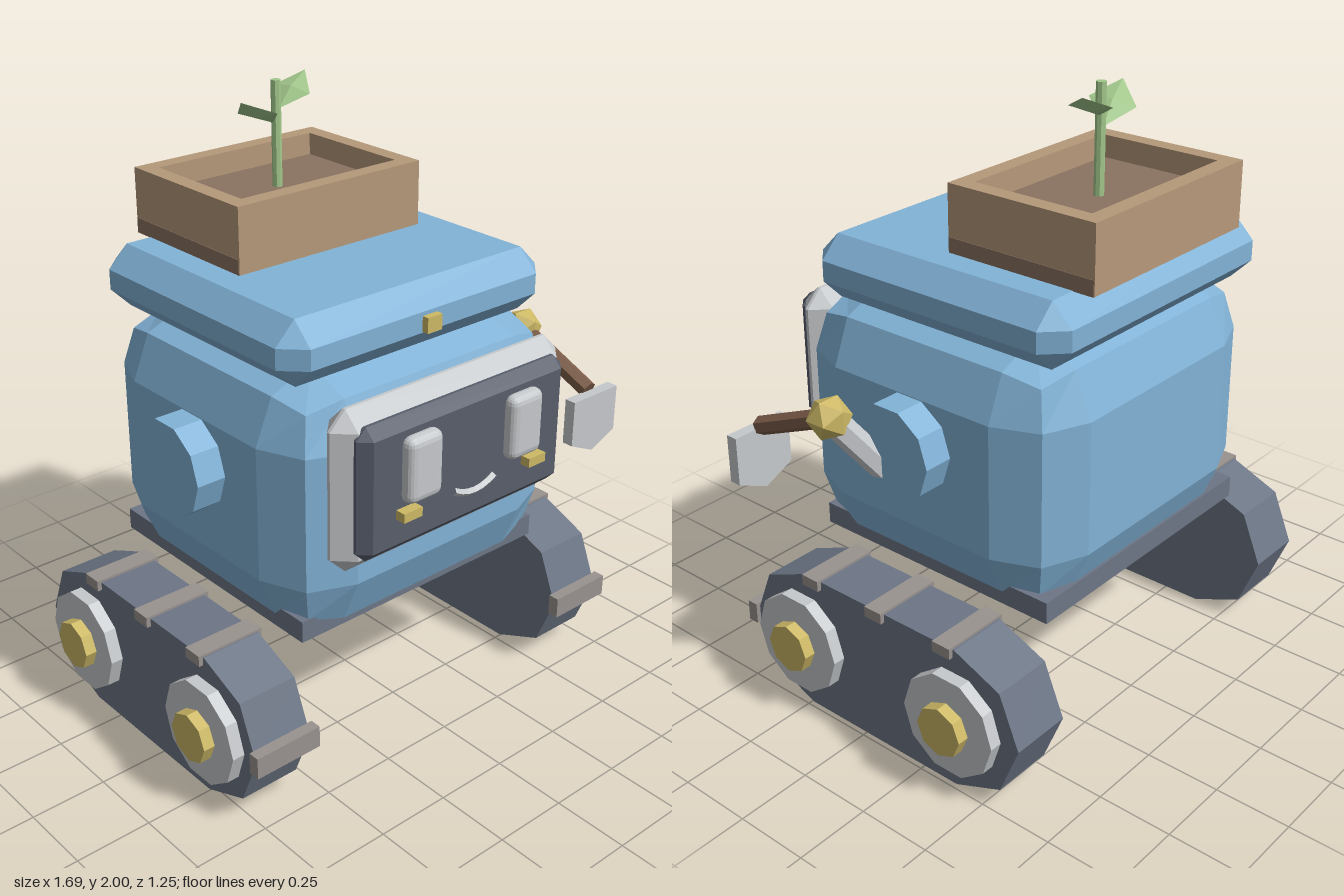
import * as THREE from 'three';
import { RoundedBoxGeometry } from 'three/addons/geometries/RoundedBoxGeometry.js';
import { ConvexGeometry } from 'three/addons/geometries/ConvexGeometry.js';

const mat = (name, color) => {
  const m = new THREE.MeshStandardMaterial({ color });
  m.name = name;
  return m;
};
const V = (x, y, z) => new THREE.Vector3(x, y, z);

export function createModel() {
  const root = new THREE.Group();
  root.name = 'gardenRobot';
  const blue = mat('blue shell', 0x82b3d7);
  const slate = mat('slate track', 0x6d7686);
  const dark = mat('dark screen', 0x585e6c);
  const tread = mat('warm grey tread', 0x99938f);
  const light = mat('light grey', 0xc6c9cc);
  const gold = mat('gold', 0xcdb966);
  const wood = mat('planter wood', 0xb6997a);
  const soil = mat('soil brown', 0x8a7260);
  const handle = mat('handle brown', 0x7d5d48);
  const green = mat('leaf green', 0xa3c98c);

  const CX = -0.018; // symmetry plane of the body

  // Adds a faceted mesh at a position
  function add(name, geo, material, x = 0, y = 0, z = 0, parent = root) {
    const g = geo.index ? geo.toNonIndexed() : geo;
    g.computeVertexNormals();
    const m = new THREE.Mesh(g, material);
    m.name = name;
    m.position.set(x, y, z);
    parent.add(m);
    return m;
  }
  const box = (w, h, d) => new THREE.BoxGeometry(w, h, d);
  const disc = (r, len, n) => new THREE.CylinderGeometry(r, r, len, n).rotateZ(Math.PI / 2);

  // Box with a single chamfer on every edge
  function chamferBox(w, h, d, c) {
    const pts = [], a = w / 2, b = h / 2, e = d / 2;
    for (const i of [-1, 1]) for (const j of [-1, 1]) for (const k of [-1, 1]) {
      pts.push(V(i * a, j * (b - c), k * (e - c)));
      pts.push(V(i * (a - c), j * b, k * (e - c)));
      pts.push(V(i * (a - c), j * (b - c), k * e));
    }
    return new ConvexGeometry(pts);
  }

  // Rod between two points
  function rod(name, a, b, r, n, material) {
    const m = add(name, new THREE.CylinderGeometry(r, r, a.distanceTo(b), n), material);
    m.position.copy(a).add(b).multiplyScalar(0.5);
    m.quaternion.setFromUnitVectors(V(0, 1, 0), b.clone().sub(a).normalize());
    return m;
  }

  // Body, base plate and lid
  add('body', new RoundedBoxGeometry(1.106, 0.856, 1.032, 1, 0.208), blue, CX, 0.908, -0.04);
  add('basePlate', box(0.99, 0.072, 0.916), slate, CX, 0.542, -0.061);
  add('lid', chamferBox(1.048, 0.206, 0.966, 0.07), blue, CX, 1.418, -0.083);
  add('lidLatch', box(0.058, 0.05, 0.06), gold, CX, 1.413, 0.393);

  // Face panel
  add('faceBezel', chamferBox(0.926, 0.523, 0.125, 0.057), light, CX, 1.026, 0.483);
  add('faceScreen', chamferBox(0.838, 0.43, 0.08, 0.035), dark, CX, 1.032, 0.545);
  for (const s of [-1, 1]) {
    add('eye', new RoundedBoxGeometry(0.137, 0.213, 0.06, 2, 0.028), light, CX + s * 0.209, 1.087, 0.594);
    add('cheek', box(0.072, 0.03, 0.035), gold, CX + s * 0.26, 0.953, 0.602);
  }
  const smile = new THREE.QuadraticBezierCurve3(V(-0.084, 0.96, 0), V(0, 0.91, 0), V(0.084, 0.96, 0));
  add('smile', new THREE.TubeGeometry(smile, 6, 0.012, 4), light, CX, 0, 0.604);

  // Track outline: two half octagons joined by straight runs
  const outline = [];
  for (const [cu, start] of [[0.382, -90], [-0.246, 90]]) {
    for (let k = 0; k <= 4; k++) {
      const t = THREE.MathUtils.degToRad(start + k * 45);
      outline.push(new THREE.Vector2(cu + 0.243 * Math.cos(t), 0.245 + 0.245 * Math.sin(t)));
    }
  }

  // Tracks with wheels, treads and shoulders on both sides
  for (const s of [-1, 1]) {
    const side = new THREE.Group();
    side.name = s > 0 ? 'leftTrack' : 'rightTrack';
    side.position.x = CX + s * 0.648;
    root.add(side);
    const belt = new THREE.ExtrudeGeometry(new THREE.Shape(outline), { depth: 0.206, bevelEnabled: false });
    belt.rotateY(Math.PI / 2).translate(-0.103, 0, 0);
    add('trackBelt', belt, slate, 0, 0, 0, side);
    for (const z of [0.26, -0.385]) {
      add('wheel', disc(0.173, 0.06, 10), light, s * 0.115, 0.245, z, side);
      add('hub', disc(0.083, 0.06, 8), gold, s * 0.154, 0.245, z, side);
    }
    for (const z of [0.208, -0.065, -0.342]) {
      add('tread', box(0.236, 0.036, 0.068), tread, 0, 0.48, z, side);
    }
    add('frontTread', box(0.236, 0.072, 0.038), tread, 0, 0.248, 0.497, side);
    add('shoulder', disc(0.158, 0.2, 10), blue, CX + s * 0.553, 0.975, -0.042);
  }

  // Left arm with a trowel
  const elbow = V(0.735, 1.093, 0.088);
  rod('upperArm', V(0.585, 0.875, -0.005), elbow, 0.043, 6, light);
  add('elbowJoint', new THREE.IcosahedronGeometry(0.07, 0), gold, elbow.x, elbow.y, elbow.z);
  rod('trowelHandle', elbow, V(0.732, 0.963, 0.4), 0.031, 6, handle);
  const blade = new THREE.Shape([
    [-0.106, 0.1], [-0.106, -0.06], [0, -0.108], [0.106, -0.06], [0.106, 0.1],
  ].map(([x, y]) => new THREE.Vector2(x, y)));
  add('trowelBlade', new THREE.ExtrudeGeometry(blade, { depth: 0.04, bevelEnabled: false }),
    light, 0.732, 0.86, 0.395);

  // Planter: four walls, floor and soil
  const PZ = -0.302, W = 0.724, D = 0.532, T = 0.055;
  for (const s of [-1, 1]) {
    add('planterSideWall', box(T, 0.213, D), wood, CX + s * (W - T) / 2, 1.6265, PZ);
    add('planterEndWall', box(W - 2 * T, 0.213, T), wood, CX, 1.6265, PZ + s * (D - T) / 2);
  }
  add('planterFloor', box(W + 0.004, 0.05, D - 0.004), soil, CX, 1.544, PZ);
  add('soil', box(W - 2 * T, 0.1, D - 2 * T), soil, CX, 1.61, PZ);

  // Sprout: stem and two leaves, each a thin folded diamond
  add('stem', new THREE.CylinderGeometry(0.016, 0.016, 0.36, 8), green, CX, 1.82, -0.305);
  const leaves = [
    [V(-0.028, 1.865, -0.308), V(-0.138, 1.905, -0.345), V(-0.193, 1.965, -0.254), V(-0.093, 1.925, -0.204)],
    [V(0, 1.905, -0.313), V(0.057, 1.955, -0.404), V(0.147, 1.995, -0.363), V(0.088, 1.945, -0.268)],
  ];
  for (const p of leaves) {
    const mid = V(0, 0, 0);
    p.forEach((q) => mid.addScaledVector(q, 0.25));
    const n = p[2].clone().sub(p[0]).cross(p[3].clone().sub(p[1])).normalize().multiplyScalar(0.014);
    add('leaf', new ConvexGeometry([...p, mid.clone().add(n), mid.clone().sub(n)]), green);
  }
  return root;
}
